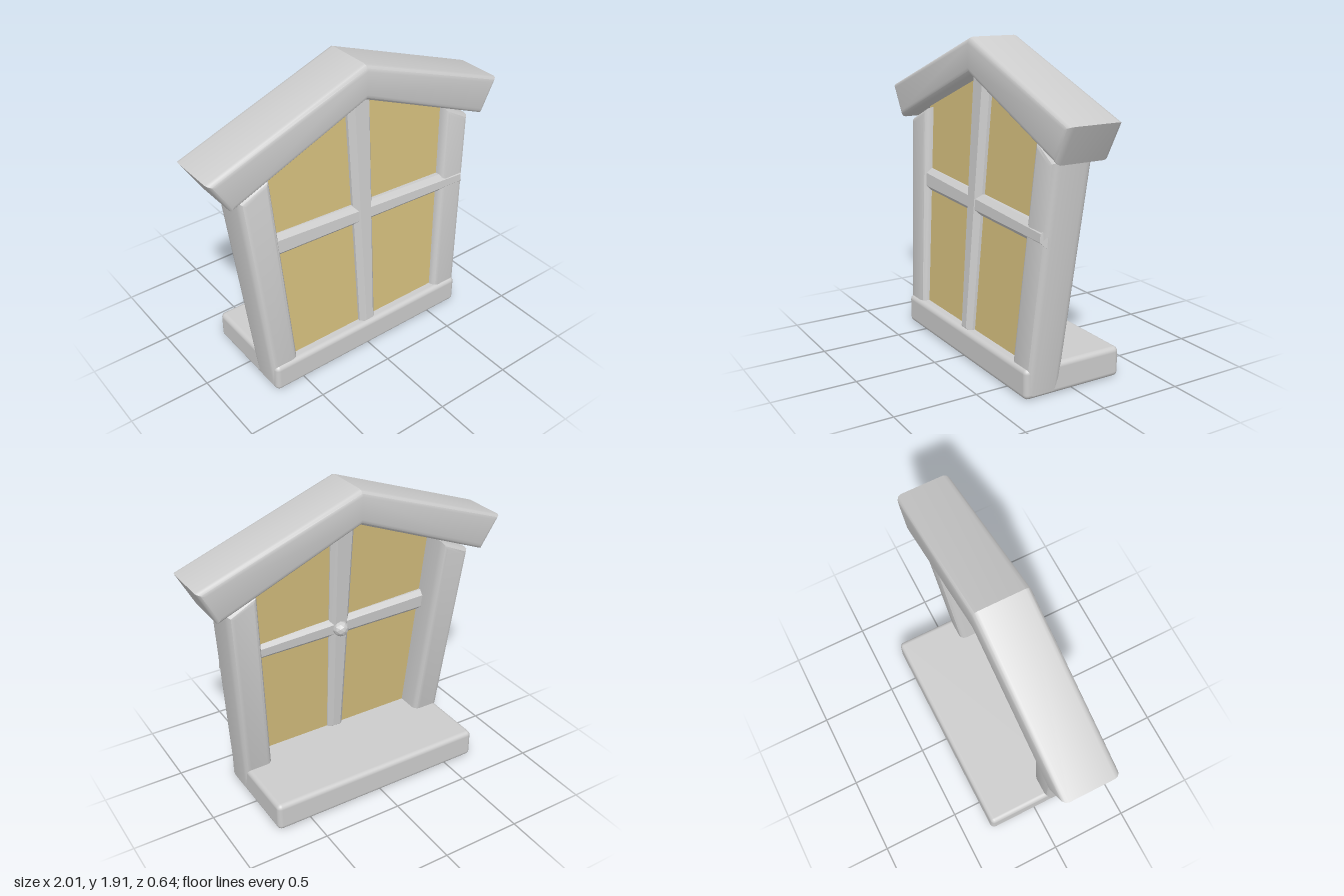
import * as THREE from 'three';
import { toCreasedNormals } from 'three/addons/utils/BufferGeometryUtils.js';
import { RoundedBoxGeometry } from 'three/addons/geometries/RoundedBoxGeometry.js';

const frameMaterial = new THREE.MeshStandardMaterial({ color: 0xcccccc });
const glassMaterial = new THREE.MeshStandardMaterial({ color: 0xd3bd7c });

// Bevelled slab from a front outline, then leaned: z = z0 + slope * y, thickening by grow * y
function slab(name, outline, { depth, bevel, segments = 3, z0, slope = 0, grow = 0, twist = 0, material = frameMaterial }) {
  const shape = new THREE.Shape(outline.map(([x, y]) => new THREE.Vector2(x, y)));
  const geometry = new THREE.ExtrudeGeometry(shape, {
    depth: depth - 2 * bevel,
    bevelEnabled: bevel > 0,
    bevelSize: bevel,
    bevelThickness: bevel,
    bevelOffset: -bevel,
    bevelSegments: segments,
  });
  geometry.translate(0, 0, bevel - depth / 2);
  const p = geometry.attributes.position;
  for (let i = 0; i < p.count; i++) {
    const x = p.getX(i), y = p.getY(i);
    p.setZ(i, p.getZ(i) * (1 + grow * y) + z0 + slope * y + twist * x);
  }
  const mesh = new THREE.Mesh(toCreasedNormals(geometry, 0.6), material);
  mesh.name = name;
  return mesh;
}

export function createModel() {
  const model = new THREE.Group();
  model.name = 'window';

  // Deep sill reaching backwards
  const sill = new THREE.Mesh(new RoundedBoxGeometry(1.42, 0.18, 0.64, 3, 0.03), frameMaterial);
  sill.name = 'sill';
  sill.position.set(0.01, 0.09, 0);
  model.add(sill);

  // Side posts, spreading outwards and leaning back
  const post = { depth: 0.22, bevel: 0.04, z0: 0.205, slope: -0.082, grow: 0.12 };
  model.add(
    slab('rightPost', [[-0.70, 0.02], [-0.52, 0.02], [-0.615, 1.43], [-0.815, 1.34]], post),
    slab('leftPost', [[0.72, 0.02], [0.535, 0.02], [0.635, 1.43], [0.82, 1.33]], post),
  );

  // Gabled roof beam
  model.add(slab('roof', [
    [-1.005, 1.54], [0, 1.91], [1, 1.54], [0.89, 1.33], [0, 1.70], [-0.88, 1.34],
  ], { depth: 0.34, bevel: 0.035, z0: 0.12, slope: -0.02 }));

  // Glass pane filling the gable outline
  model.add(slab('glass', [
    [-0.56, 0.12], [0.58, 0.12], [0.67, 1.46], [0, 1.75], [-0.67, 1.46],
  ], { depth: 0.02, bevel: 0, z0: 0.262, slope: -0.08, material: glassMaterial }));

  // Glazing bars, chamfered front and back
  const bar = { depth: 0.1, bevel: 0.03, segments: 1, z0: 0.268, slope: -0.08 };
  model.add(
    slab('uprightBar', [[-0.045, 0.16], [0.065, 0.16], [0.09, 1.76], [-0.07, 1.76]], { ...bar, grow: 0.12 }),
    slab('crossBar', [[-0.64, 0.905], [0.785, 0.87], [0.785, 0.975], [-0.64, 1.045]], { ...bar, twist: 0.018 }),
  );

  // Faceted knob behind the crossing
  const knob = new THREE.Mesh(
    new THREE.IcosahedronGeometry(0.05, 1),
    new THREE.MeshStandardMaterial({ color: 0xcccccc, flatShading: true }),
  );
  knob.name = 'knob';
  knob.position.set(0.015, 0.95, 0.135);
  model.add(knob);

  return model;
}
